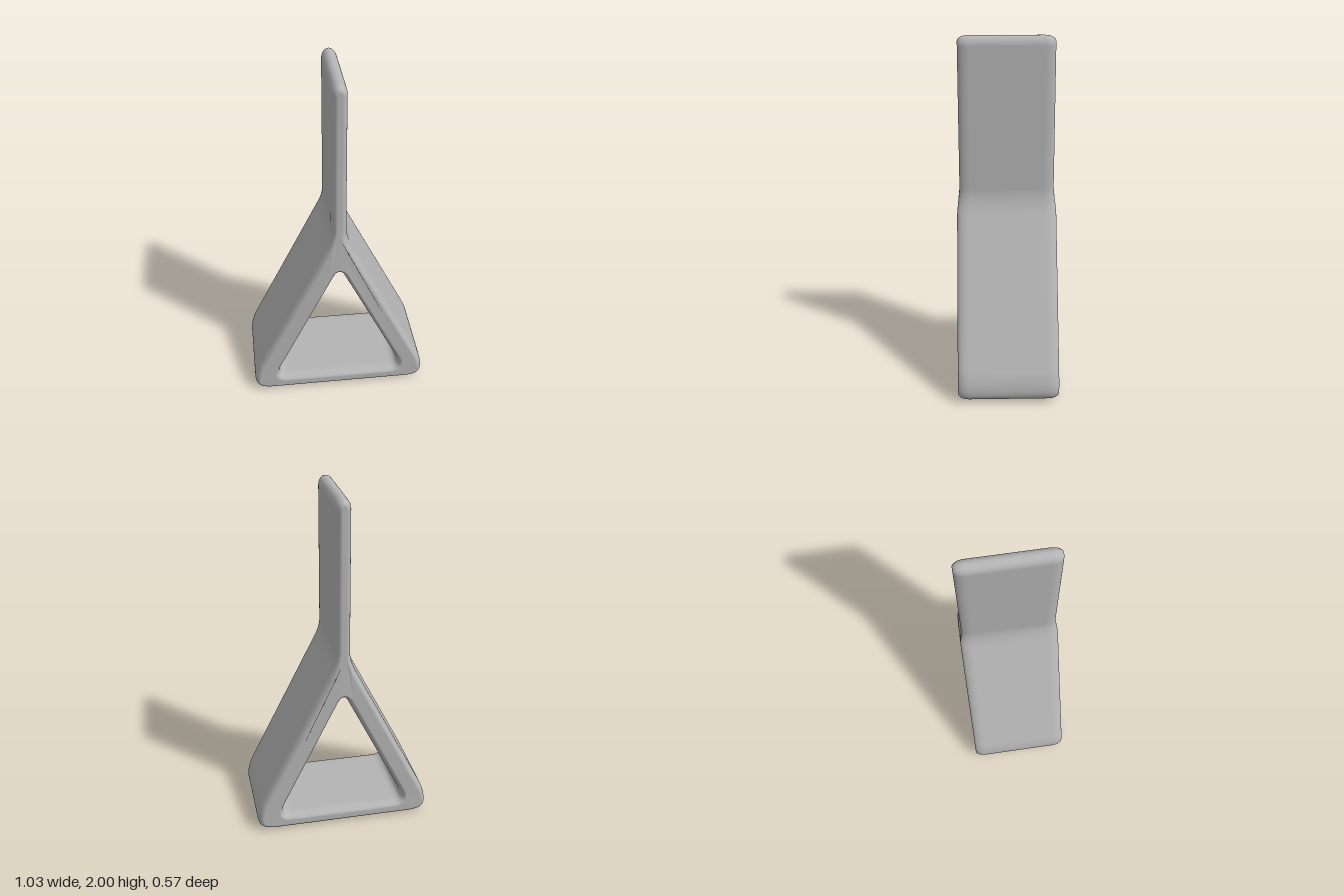
import * as THREE from 'three';
import { mergeVertices } from 'three/addons/utils/BufferGeometryUtils.js';

export function createModel() {
  const group = new THREE.Group();
  const grey = new THREE.MeshStandardMaterial({ color: 0xb4b4b4 });
  grey.name = 'grey';

  // Outline: rounded triangular foot flowing into an upright blade
  const outline = new THREE.Shape();
  outline.moveTo(-0.41, 0.003);
  outline.lineTo(0.41, 0.003);
  outline.bezierCurveTo(0.48, 0.005, 0.515, 0.025, 0.515, 0.07);
  outline.quadraticCurveTo(0.515, 0.12, 0.485, 0.185);
  outline.lineTo(0.085, 0.98);
  outline.quadraticCurveTo(0.043, 1.06, 0.043, 1.13);
  outline.lineTo(0.043, 1.945);
  outline.absellipse(0, 1.945, 0.043, 0.055, 0, Math.PI, false);
  outline.lineTo(-0.043, 1.13);
  outline.quadraticCurveTo(-0.043, 1.06, -0.085, 0.98);
  outline.lineTo(-0.485, 0.185);
  outline.quadraticCurveTo(-0.515, 0.12, -0.515, 0.07);
  outline.bezierCurveTo(-0.515, 0.025, -0.48, 0.005, -0.41, 0.003);

  // Triangular opening with rounded corners
  const opening = new THREE.Path();
  opening.moveTo(-0.31, 0.09);
  opening.quadraticCurveTo(-0.385, 0.09, -0.352, 0.165);
  opening.lineTo(-0.028, 0.82);
  opening.quadraticCurveTo(0, 0.876, 0.028, 0.82);
  opening.lineTo(0.352, 0.165);
  opening.quadraticCurveTo(0.385, 0.09, 0.31, 0.09);
  opening.lineTo(-0.31, 0.09);
  outline.holes.push(opening);

  // Extrude with a deep, soft edge
  const bevelThickness = 0.065;
  const depth = 0.574 - 2 * bevelThickness;
  let geometry = new THREE.ExtrudeGeometry(outline, {
    depth, bevelThickness, bevelSize: 0.03, bevelOffset: -0.03,
    bevelSegments: 8, curveSegments: 10,
  });
  geometry.translate(0, 0, -depth / 2);

  // The blade is slightly narrower than the foot
  const pos = geometry.attributes.position;
  for (let i = 0; i < pos.count; i++) {
    const t = THREE.MathUtils.smoothstep(pos.getY(i), 0.97, 1.13);
    pos.setZ(i, pos.getZ(i) * (1 - 0.052 * t));
  }

  // Weld for smooth shading throughout
  geometry.deleteAttribute('uv');
  geometry.deleteAttribute('normal');
  geometry = mergeVertices(geometry, 1e-5);
  geometry.computeVertexNormals();

  const body = new THREE.Mesh(geometry, grey);
  body.name = 'triangularFootAndBlade';
  group.add(body);
  return group;
}
